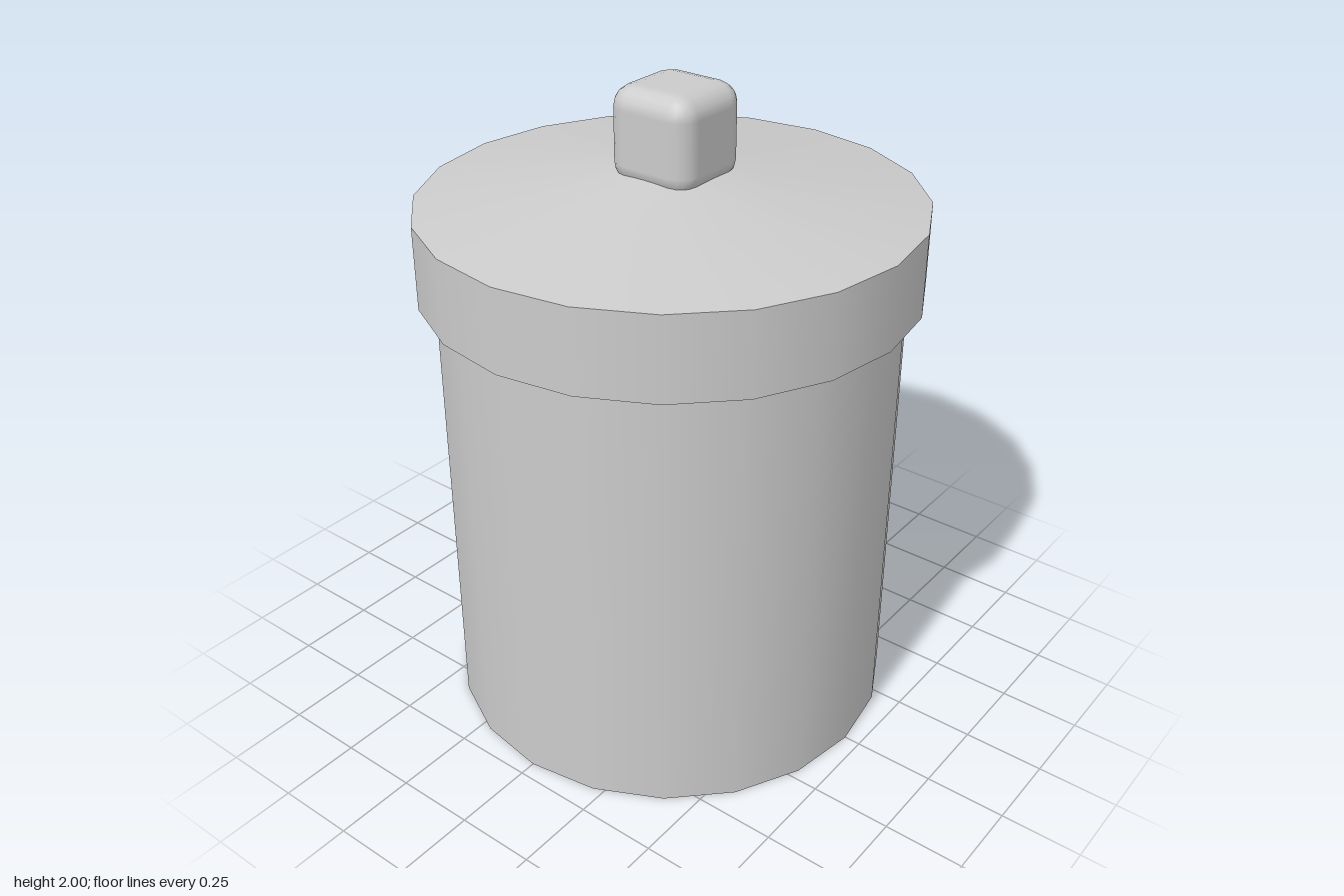
import * as THREE from 'three';
import { RoundedBoxGeometry } from 'three/addons/geometries/RoundedBoxGeometry.js';

const SIDES = 20;

export function createModel() {
  const jar = new THREE.Group();
  jar.name = 'jar';
  const solid = new THREE.MeshStandardMaterial({ color: 0xcccccc });
  const thin = new THREE.MeshStandardMaterial({ color: 0xcccccc, side: THREE.DoubleSide });

  const add = (parent, name, geometry, material, x, y, z) => {
    const mesh = new THREE.Mesh(geometry, material);
    mesh.name = name;
    mesh.position.set(x, y, z);
    parent.add(mesh);
    return mesh;
  };

  // Closed body, ending level with the lower edge of the lid
  add(jar, 'body', new THREE.CylinderGeometry(0.7, 0.7, 1.4, SIDES), solid, 0, 0.7, 0);

  // Thin hollow lid, open underneath: skirt, sloping top and flat centre
  const lid = new THREE.Group();
  lid.name = 'lid';
  jar.add(lid);
  add(lid, 'lidSkirt', new THREE.CylinderGeometry(0.75, 0.75, 0.255, SIDES, 1, true), thin, 0, 1.5275, 0);
  add(lid, 'lidSlope', new THREE.CylinderGeometry(0.12, 0.75, 0.095, SIDES, 1, true), thin, 0, 1.7025, 0);
  add(lid, 'lidCentre', new THREE.CircleGeometry(0.12, SIDES), thin, 0, 1.75, 0).rotation.x = -Math.PI / 2;

  // Rounded knob, slightly off centre and sunk into the lid
  add(lid, 'knob', new RoundedBoxGeometry(0.285, 0.29, 0.285, 2, 0.065), solid, 0.013, 1.855, 0.003);

  return jar;
}
